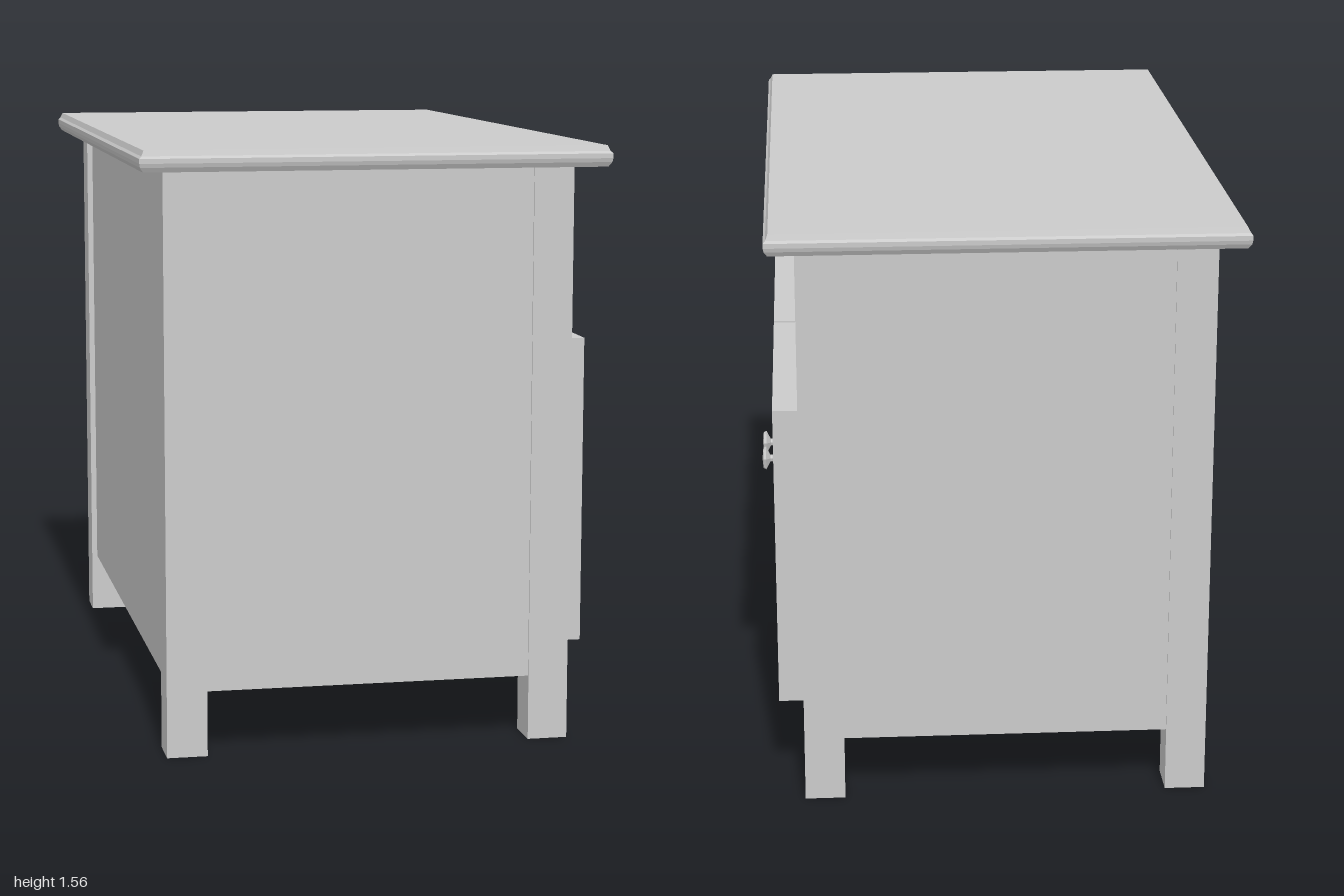
import * as THREE from 'three';

const material = new THREE.MeshStandardMaterial({ color: 0xcccccc, flatShading: true });

function add(parent, name, geometry) {
  const mesh = new THREE.Mesh(geometry, material);
  mesh.name = name;
  parent.add(mesh);
  return mesh;
}

// Box given by its limits on each axis
function board(parent, name, x0, x1, y0, y1, z0, z1) {
  const mesh = add(parent, name, new THREE.BoxGeometry(x1 - x0, y1 - y0, z1 - z0));
  mesh.position.set((x0 + x1) / 2, (y0 + y1) / 2, (z0 + z1) / 2);
  return mesh;
}

// Skin over rectangular rings [halfWidth, halfHeight, z], capped at the last ring
function rectLoft(rings, capStart) {
  const p = [];
  const corner = ([w, h, z], i) => [[-w, -h, z], [w, -h, z], [w, h, z], [-w, h, z]][i % 4];
  const quad = (a, b, c, d) => p.push(...a, ...b, ...c, ...a, ...c, ...d);
  for (let r = 0; r < rings.length - 1; r++) {
    for (let i = 0; i < 4; i++) {
      quad(corner(rings[r], i), corner(rings[r], i + 1), corner(rings[r + 1], i + 1), corner(rings[r + 1], i));
    }
  }
  const last = rings[rings.length - 1];
  quad(...[0, 1, 2, 3].map((i) => corner(last, i)));
  if (capStart) quad(...[3, 2, 1, 0].map((i) => corner(rings[0], i)));
  const geometry = new THREE.BufferGeometry();
  geometry.setAttribute('position', new THREE.Float32BufferAttribute(p, 3));
  geometry.computeVertexNormals();
  return geometry;
}

function rectangle(Type, w, h, y = 0) {
  const s = new Type();
  s.moveTo(-w, y - h).lineTo(w, y - h).lineTo(w, y + h).lineTo(-w, y + h).closePath();
  return s;
}

// Door facing local +z: frame with a moulded, raised panel and a knob on one side
function makeDoor(name, knobX) {
  const door = new THREE.Group();
  door.name = name;
  const shape = rectangle(THREE.Shape, 0.398, 0.405);
  shape.holes.push(rectangle(THREE.Path, 0.26, 0.26, 0.005));
  add(door, 'doorFrame', new THREE.ExtrudeGeometry(shape, { depth: 0.065, bevelEnabled: false }));

  const panel = add(door, 'raisedPanel', rectLoft([
    [0.26, 0.26, 0.065], [0.243, 0.243, 0.045], [0.24, 0.24, 0.04], [0.155, 0.17, 0.058],
  ], false));
  panel.position.y = 0.005;
  board(door, 'panelBacking', -0.26, 0.26, -0.255, 0.265, 0, 0.03);

  const profile = [[0, 0], [0.022, 0], [0.01, 0.012], [0.01, 0.018], [0.034, 0.03], [0.03, 0.038], [0, 0.041]];
  const knob = add(door, 'knob', new THREE.LatheGeometry(profile.map(([r, y]) => new THREE.Vector2(r, y)), 7));
  knob.rotation.x = Math.PI / 2;
  knob.position.set(knobX, 0.02, 0.065);
  return door;
}

export function createModel() {
  const cabinet = new THREE.Group();
  cabinet.name = 'cabinet';

  // Table top with moulded edge
  const top = add(cabinet, 'tableTop', rectLoft([
    [0.592, 0.99, 0], [0.6, 0.997, 0.012], [0.602, 1, 0.022],
    [0.602, 1, 0.034], [0.596, 0.994, 0.04], [0.59, 0.988, 0.054],
  ], true));
  top.rotation.x = -Math.PI / 2;
  top.position.set(-0.017, 1.505, 0);

  // Legs and side panels, mirrored
  for (const s of [-1, 1]) {
    const z0 = s > 0 ? 0.805 : -0.91;
    for (const x of [-0.55, 0.405]) {
      board(cabinet, x > 0 ? 'frontLeg' : 'backLeg', x, x + 0.105, 0, 1.505, z0, z0 + 0.105);
    }
    const p0 = s > 0 ? 0.805 : -0.906;
    board(cabinet, 'sidePanel', -0.445, 0.405, 0.17, 1.505, p0, p0 + 0.101);
  }

  // Back, shelves and top rail between the legs
  board(cabinet, 'backPanel', -0.534, -0.5, 0.235, 1.505, -0.805, 0.805);
  board(cabinet, 'floorBoard', -0.534, 0.5, 0.17, 0.235, -0.805, 0.805);
  board(cabinet, 'middleShelf', -0.5, 0.505, 1.045, 1.11, -0.805, 0.805);
  board(cabinet, 'topRail', 0.44, 0.5, 1.44, 1.505, -0.805, 0.805);

  // Doors facing +x, knobs next to the centre gap
  for (const s of [-1, 1]) {
    const door = makeDoor(s > 0 ? 'leftDoor' : 'rightDoor', s * 0.335);
    door.rotation.y = Math.PI / 2;
    door.position.set(0.51, 0.64, s * 0.405);
    cabinet.add(door);
  }
  return cabinet;
}
